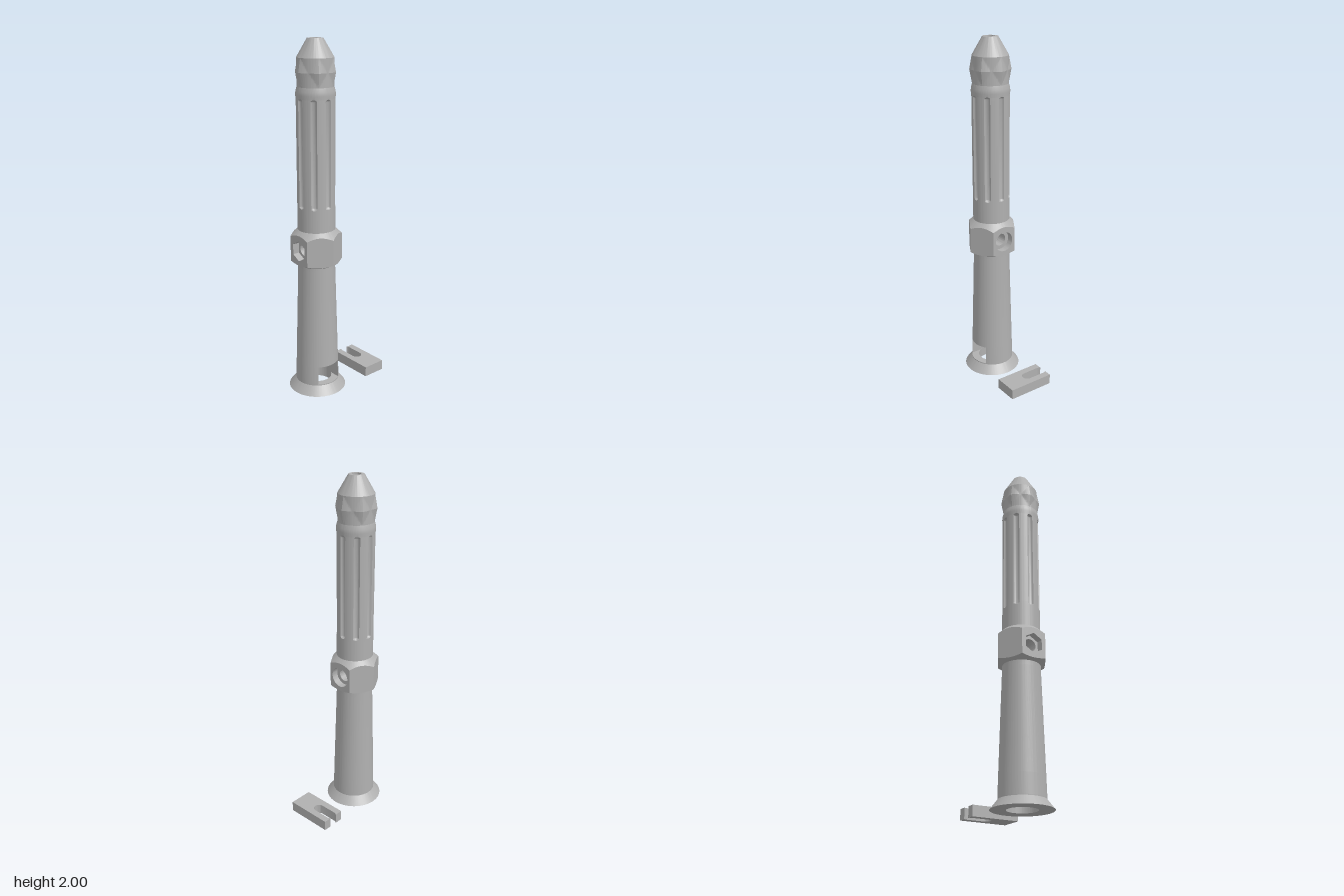
import * as THREE from 'three';
import { toCreasedNormals } from 'three/addons/utils/BufferGeometryUtils.js';

const N = 192; // samples around the axis (divisible by 6 and 8)
const PI = Math.PI;
const grey = new THREE.MeshStandardMaterial({ color: 0xb0b0b0, side: THREE.DoubleSide });
grey.name = 'greyPlastic';

function add(group, name, geo, crease = 0.45) {
  const mesh = new THREE.Mesh(toCreasedNormals(geo, crease), grey);
  mesh.name = name;
  group.add(mesh);
  return mesh;
}

// Surface through rings; radius and height may be numbers or functions of the angle
function loft(rings) {
  const pos = [], index = [];
  const value = (v, a) => (typeof v === 'function' ? v(a) : v);
  for (const [r, y] of rings) {
    for (let j = 0; j < N; j++) {
      const a = (j / N) * 2 * PI, rad = value(r, a);
      pos.push(rad * Math.sin(a), value(y, a), rad * Math.cos(a));
    }
  }
  for (let i = 0; i < rings.length - 1; i++) {
    for (let j = 0; j < N; j++) {
      const k = (j + 1) % N, a = i * N + j, b = i * N + k;
      index.push(a, b, b + N, a, b + N, a + N);
    }
  }
  const geo = new THREE.BufferGeometry();
  geo.setAttribute('position', new THREE.Float32BufferAttribute(pos, 3));
  geo.setIndex(index);
  return geo;
}

// Signed angle to the nearest of n evenly spaced directions
function nearest(a, n, offset = 0) {
  const step = (2 * PI) / n;
  return a - offset - Math.round((a - offset) / step) * step;
}

// Hexagonal nut outline with conical chamfers above and below
const FLAT = 0.127, BORE = 0.025;
const hexR = (a) => FLAT / Math.cos(nearest(a, 6, PI / 6));
const hexTop = (a) => 0.97 - (hexR(a) - 0.105) * 0.95;
const hexBottom = (a) => 0.765 + (hexR(a) - 0.105) * 0.5;

function polygonPath(Type, r, sides, cy = 0) {
  const pts = [];
  for (let i = 0; i < sides; i++) {
    const a = (i / sides) * 2 * PI;
    pts.push(new THREE.Vector2(r * Math.sin(a), cy - r * Math.cos(a)));
  }
  return new Type(pts);
}

// Open tube along z at the cross-hole height
function tunnel(r, z0, z1, sides) {
  return new THREE.CylinderGeometry(r, r, z1 - z0, sides, 1, true)
    .rotateX(PI / 2).translate(0, 0.86, (z0 + z1) / 2);
}

function buildNut(body) {
  const nut = new THREE.Group();
  nut.name = 'hexCollar';
  body.add(nut);
  add(nut, 'lowerChamfer', loft([[0.105, 0.765], [hexR, hexBottom]]));
  add(nut, 'upperChamfer', loft([[hexR, hexTop], [0.105, 0.97]]));
  for (let f = 0; f < 6; f++) {
    const angle = PI / 6 + (f * PI) / 3;
    const side = new THREE.Group();
    side.name = 'collarSide';
    side.rotation.y = angle;
    nut.add(side);
    const low = [], high = [];
    for (let i = 0; i <= 32; i++) {
      const d = (i / 32 - 0.5) * (PI / 3), x = FLAT * Math.tan(d);
      low.push(new THREE.Vector2(x, hexBottom(angle + d)));
      high.unshift(new THREE.Vector2(x, hexTop(angle + d)));
    }
    const face = new THREE.Shape([...low, ...high]);
    // Screw hole on the left, hexagonal nut pocket on the right
    if (f === 1 || f === 4) {
      const sides = f === 1 ? 48 : 6, r = 0.058;
      face.holes.push(polygonPath(THREE.Path, r, sides, 0.86));
      add(side, 'counterbore', tunnel(r, 0.087, FLAT, sides));
      const step = polygonPath(THREE.Shape, r, sides, 0.86);
      step.holes.push(polygonPath(THREE.Path, 0.036, 48, 0.86));
      add(side, 'counterboreStep', new THREE.ShapeGeometry(step).translate(0, 0, 0.087));
      add(side, 'crossHole', tunnel(0.036, BORE, 0.087, 48));
    }
    add(side, 'collarFace', new THREE.ShapeGeometry(face).translate(0, 0, FLAT));
  }
  // Cheeks of the cross hole where it meets the bore
  for (const s of [0, PI]) {
    const cheek = new THREE.CylinderGeometry(0.036, 0.036, 2 * BORE, 16, 1, true, s - PI / 4, PI / 2)
      .rotateZ(PI / 2).translate(0, 0.86, 0);
    add(nut, 'holeCheek', cheek);
  }
}

function buildBase(body) {
  const inner = 0.082, outer = 0.125, half = 0.075, y0 = 0.055, y1 = 0.165;
  add(body, 'baseFlange', loft([
    [inner, y0], [inner, 0], [0.165, 0], [outer, 0.05], [outer, y0], [inner, y0],
  ]));
  // Wall with a square front window
  const ao = Math.asin(half / outer), ai = Math.asin(half / inner);
  const wall = new THREE.Shape();
  wall.absarc(0, 0, outer, -PI / 2 + ao, 1.5 * PI - ao, false);
  wall.absarc(0, 0, inner, 1.5 * PI - ai, -PI / 2 + ai, true);
  const geo = new THREE.ExtrudeGeometry(wall, { depth: y1 - y0, bevelEnabled: false, curveSegments: 64 });
  geo.rotateX(-PI / 2).translate(0, y0, 0);
  const p = geo.attributes.position;
  for (let i = 0; i < p.count; i++) {
    if (Math.hypot(p.getX(i), p.getZ(i)) > 0.1 && p.getY(i) > 0.1) {
      p.setX(i, p.getX(i) * 0.976);
      p.setZ(i, p.getZ(i) * 0.976);
    }
  }
  add(body, 'windowWall', geo);
  add(body, 'taperedBody', loft([[BORE, y1], [0.122, y1], [0.105, 0.74], [0.105, 0.765]]));
}

function buildBarrel(body) {
  // Eight round-ended flutes
  const w = 5 * (2 * PI / N) * 0.105, rings = [[0.105, 0.97]];
  const y0 = 1.115, y1 = 1.675;
  const flute = (y) => (a) => {
    const s = nearest(a, 8) * 0.105;
    const e = y < y0 ? y0 - y : Math.max(0, y - y1);
    return 0.105 - 0.85 * Math.sqrt(Math.max(0, w * w - s * s - e * e));
  };
  const steps = [1, 0.95, 0.85, 0.7, 0.5, 0.25, 0];
  for (const t of steps) rings.push([flute(y0 - t * w), y0 - t * w]);
  for (const t of [...steps].reverse()) rings.push([flute(y1 + t * w), y1 + t * w]);
  rings.push([0.108, 1.71], [0.106, 1.73], [0.1, 1.752]);
  add(body, 'flutedBarrel', loft(rings));
}

function buildHead(body) {
  // Six pointed bosses around the neck
  const rings = [];
  for (let i = 0; i <= 16; i++) {
    const y = 1.752 + (0.15 * i) / 16;
    rings.push([(a) => 0.1 + 0.014 * Math.max(0,
      1 - Math.abs(nearest(a, 6, PI / 6)) / 0.5 - Math.abs(y - 1.827) / 0.075), y]);
  }
  add(body, 'facetedNeck', loft(rings), 0.2);
  add(body, 'conicalTip', loft([[0.1, 1.902], [0.043, 2], [BORE, 2], [BORE, 0.89]]));
  add(body, 'lowerBore', loft([[BORE, 0.83], [BORE, 0.165]]));
}

// Flat U-shaped key beside the body
function buildKey(group) {
  const s = new THREE.Shape(), r = 0.03, c = Math.asin(2 / 3);
  s.moveTo(-0.069, -0.138);
  s.lineTo(0.069, -0.138);
  s.lineTo(0.069, 0.138);
  s.absarc(0, 0.118, r, c, 0, true);
  s.absarc(0, 0.02, r, 0, -PI, true);
  s.absarc(0, 0.118, r, PI, PI - c, true);
  s.lineTo(-0.069, 0.138);
  const geo = new THREE.ExtrudeGeometry(s, { depth: 0.06, bevelEnabled: false, curveSegments: 24 });
  add(group, 'slottedKey', geo.rotateX(-PI / 2).translate(0.214, 0, 0));
}

export function createModel() {
  const model = new THREE.Group();
  model.name = 'flutedNozzleWithKey';
  const body = new THREE.Group();
  body.name = 'nozzle';
  body.position.x = -0.12;
  model.add(body);
  buildBase(body);
  buildNut(body);
  buildBarrel(body);
  buildHead(body);
  buildKey(model);
  return model;
}
